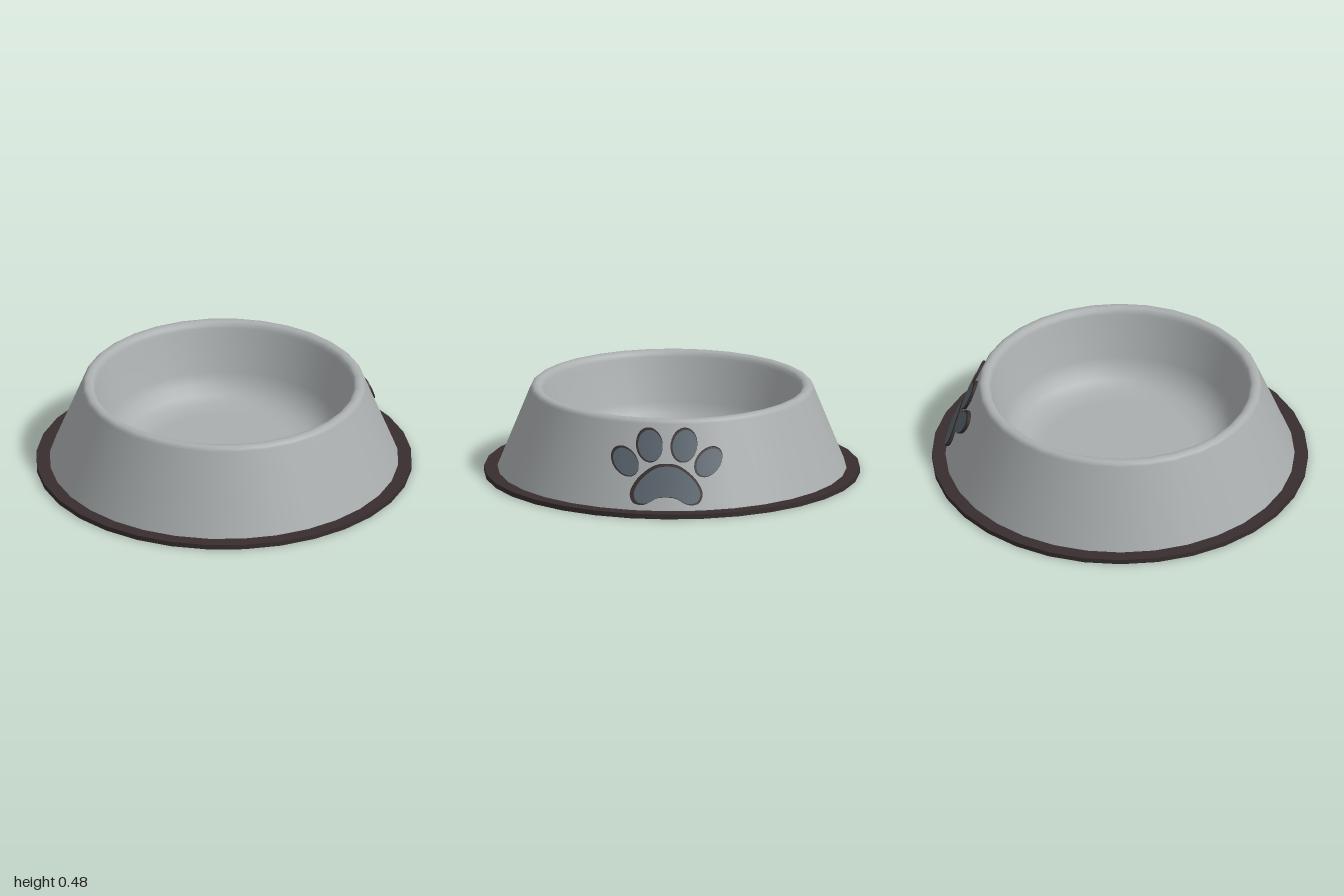
import * as THREE from 'three';
import { mergeVertices, toCreasedNormals } from 'three/addons/utils/BufferGeometryUtils.js';

const SIDES = 32;
const TAU = Math.PI * 2;

// Radius of the sloping outer wall at height y
const wallRadius = (y) => 0.93 - (y - 0.025) * 0.404;

// Plate wrapped round the +x wall: outline is a counterclockwise loop in (u, y), u = -z.
// Each ring is [scale about the centre, height off the wall].
function wrappedPlate(outline, centre, rings, shift = 0) {
  const n = outline.length;
  const positions = [];
  const index = [];
  rings.forEach(([scale, height]) => {
    for (const p of outline) {
      const u = centre.x + (p.x - centre.x) * scale + shift;
      const y = centre.y + (p.y - centre.y) * scale;
      const r = wallRadius(y) + height;
      positions.push(Math.sqrt(r * r - u * u), y, -u);
    }
  });
  for (let j = 0; j < rings.length - 1; j++) {
    for (let i = 0; i < n; i++) {
      const a = j * n + i, b = j * n + (i + 1) % n;
      index.push(a, a + n, b + n);
      if (j > 0) index.push(a, b + n, b);
    }
  }
  let geometry = new THREE.BufferGeometry();
  geometry.setAttribute('position', new THREE.Float32BufferAttribute(positions, 3));
  geometry.setIndex(index);
  geometry = mergeVertices(geometry);
  geometry.computeVertexNormals();
  return geometry;
}

// Tilted oval outline for a toe
function oval(cx, cy, rx, ry, tilt) {
  const points = [];
  for (let i = 0; i < 28; i++) {
    const p = new THREE.Vector2(rx * Math.cos(i / 28 * TAU), ry * Math.sin(i / 28 * TAU));
    points.push(p.rotateAround(new THREE.Vector2(), tilt).add(new THREE.Vector2(cx, cy)));
  }
  return points;
}

// Rounded main pad with two lower lobes, mirrored from its right half
function padOutline() {
  const half = [[0.05, 0.094], [0.11, 0.064], [0.165, 0.07], [0.183, 0.11], [0.155, 0.17], [0.1, 0.222], [0.05, 0.249]];
  const loop = [[0, 0.1], ...half, [0, 0.255], ...half.map(([x, y]) => [-x, y]).reverse()];
  const curve = new THREE.CatmullRomCurve3(loop.map(([x, y]) => new THREE.Vector3(x, y, 0)), true);
  return curve.getPoints(56).slice(0, -1).map((p) => new THREE.Vector2(p.x, p.y));
}

export function createModel() {
  const model = new THREE.Group();
  const metal = new THREE.MeshStandardMaterial({ name: 'brushed grey', color: 0xaaaeaf });
  const rubber = new THREE.MeshStandardMaterial({ name: 'dark brown', color: 0x382e2f });
  const slate = new THREE.MeshStandardMaterial({ name: 'slate blue', color: 0x59646d });

  const add = (parent, name, geometry, material) => {
    const mesh = new THREE.Mesh(geometry, material);
    mesh.name = name;
    parent.add(mesh);
    return mesh;
  };

  // Flat rubber foot
  add(model, 'base', new THREE.CylinderGeometry(1, 1, 0.026, SIDES), rubber).position.y = 0.013;

  // Bowl: outer wall, rounded rim, inner wall and floor
  const profile = [
    [0.93, 0.02], [0.925, 0.036], [0.755, 0.457], [0.749, 0.469], [0.738, 0.478], [0.722, 0.48],
    [0.705, 0.477], [0.693, 0.466], [0.686, 0.448], [0.675, 0.41], [0.615, 0.22], [0.59, 0.165],
    [0.55, 0.12], [0.5, 0.093], [0.44, 0.081], [0.4, 0.08], [0, 0.08],
  ].map(([x, y]) => new THREE.Vector2(x, y));
  add(model, 'bowl', new THREE.LatheGeometry(profile, SIDES), metal);

  // Paw emblem on the left wall: brown backing with a slate face on each part
  const paw = new THREE.Group();
  paw.name = 'pawEmblem';
  model.add(paw);
  const parts = [{ name: 'pad', centre: new THREE.Vector2(0, 0.15), outline: padOutline() }];
  for (const s of [-1, 1]) {
    const side = s < 0 ? 'Front' : 'Rear';
    parts.push({
      name: 'innerToe' + side, centre: new THREE.Vector2(s * 0.092, 0.355),
      outline: oval(s * 0.092, 0.355, 0.067, 0.081, -s * 0.15),
    });
    parts.push({
      name: 'outerToe' + side, centre: new THREE.Vector2(s * 0.222, 0.268),
      outline: oval(s * 0.222, 0.268, 0.06, 0.079, -s * 0.8),
    });
  }
  for (const { name, centre, outline } of parts) {
    const backing = wrappedPlate(outline, centre, [[0, 0.013], [0.5, 0.013], [1.06, 0.013], [1.06, -0.012]], -0.005);
    add(paw, name + 'Backing', toCreasedNormals(backing, 0.6), rubber);
    const face = wrappedPlate(outline, centre, [[0, 0.017], [0.35, 0.017], [0.7, 0.017], [0.97, 0.017]]);
    add(paw, name + 'Face', face, slate);
  }
  return model;
}
